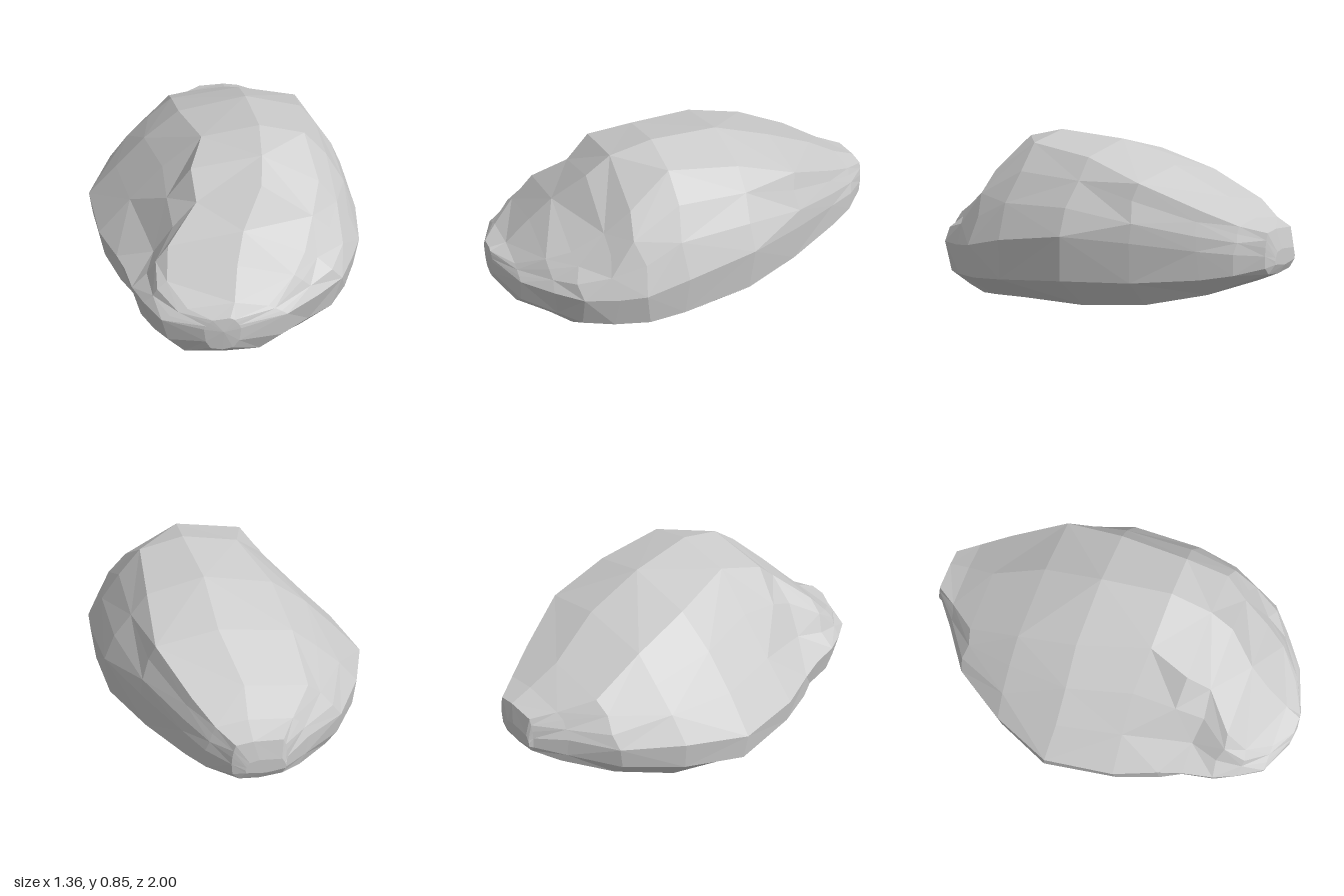
import * as THREE from 'three';

// Cross-sections from back to front: z, right x, left x, bottom y, top y,
// crest edges (right x, y, left x, y), heights of the widest points (right, left)
const SECTIONS = [
  [-1.00, -0.07, 0.12, 0.28, 0.36, -0.05, 0.35, 0.10, 0.35, 0.31, 0.31],
  [-0.98, -0.08, 0.18, 0.24, 0.455, -0.06, 0.445, 0.16, 0.445, 0.34, 0.34],
  [-0.87, -0.21, 0.28, 0.19, 0.495, -0.13, 0.47, 0.23, 0.475, 0.35, 0.35],
  [-0.72, -0.41, 0.36, 0.13, 0.575, -0.24, 0.53, 0.31, 0.54, 0.33, 0.36],
  [-0.45, -0.57, 0.51, 0.06, 0.715, -0.23, 0.66, 0.43, 0.66, 0.31, 0.39],
  [-0.15, -0.68, 0.645, 0.045, 0.825, -0.20, 0.75, 0.42, 0.76, 0.27, 0.41],
  [0.20, -0.62, 0.675, 0.03, 0.855, -0.10, 0.80, 0.40, 0.805, 0.26, 0.36],
  [0.41, -0.53, 0.665, 0.015, 0.81, -0.16, 0.75, 0.45, 0.66, 0.26, 0.31],
  [0.53, -0.49, 0.615, 0.005, 0.72, -0.14, 0.64, 0.41, 0.54, 0.27, 0.29],
  [0.68, -0.455, 0.545, 0.01, 0.57, -0.28, 0.50, 0.36, 0.44, 0.27, 0.28],
  [0.79, -0.40, 0.42, 0.02, 0.455, -0.29, 0.38, 0.30, 0.39, 0.26, 0.27],
  [0.91, -0.32, 0.26, 0.055, 0.335, -0.20, 0.31, 0.17, 0.31, 0.25, 0.26],
  [0.99, -0.13, 0.04, 0.13, 0.31, -0.09, 0.30, 0.01, 0.30, 0.25, 0.25],
];
const FRONT_Z = 1;
const { lerp, smoothstep } = THREE.MathUtils;

// Small seeded generator for the chipped facets
let seed = 7;
const jitter = (amount) => {
  seed = (seed * 16807) % 2147483647;
  return (seed / 2147483647 - 0.5) * 2 * amount;
};

// Points up one slope, from the widest point to the crest edge;
// hollow sinks its lower half into a ledge
function slope(x, y, crestX, crestY, hollow) {
  return [0, 1 / 3, 2 / 3, 1].map((t) => {
    const swell = (0.04 - hollow * (1 - t)) * (crestY - y) * Math.sin(Math.PI * t);
    return [lerp(x, crestX, t) + Math.sign(x - crestX) * swell, lerp(y, crestY, t) + swell];
  });
}

// One closed outline, counter-clockwise as seen from the front
function outline([z, xr, xl, yb, yt, cr, ycr, cl, ycl, yr, yl], row) {
  const mid = (xr + xl) / 2;
  const taper = smoothstep(z, 0.3, 0.85); // the underside narrows at the front
  // Underside corners of one flank; spread is the width of the flat bottom
  const belly = (x, y, spread) => [
    [mid + (x - mid) * (0.97 - 0.06 * taper), lerp(yb, y, 0.42)],
    [mid + (x - mid) * (spread - 0.17 * taper), yb + 0.01],
  ];
  const ledge = 0.2 * Math.max(0, 1 - Math.abs(z - 0.5) / 0.4);
  const points = [
    ...slope(xl, yl, cl, ycl, 0),
    [(cr + cl) / 2 + 0.03, yt],
    ...slope(xr, yr, cr, ycr, ledge).reverse(),
    ...belly(xr, yr, 0.82),
    [mid, yb],
    ...belly(xl, yl, 0.73).reverse(),
  ];
  const calm = row < 2 || row > SECTIONS.length - 3; // narrow ends stay tidy
  const fixed = [0, 3, 4, 5, 8, 11]; // extremes and crests keep their place
  return points.map(([x, y], j) => {
    if (calm || fixed.includes(j)) return [x, y, z];
    return [x + jitter(0.008), Math.max(0.003, y + jitter(0.008)), z + jitter(0.02)];
  });
}

function rockGeometry() {
  const rings = SECTIONS.map(outline);
  const n = rings[0].length;
  const last = rings.length - 1;
  const index = [];
  for (let i = 0; i < last; i++) {
    for (let j = 0; j < n; j++) {
      const k = (j + 1) % n;
      const a = i * n + j, b = i * n + k, c = (i + 1) * n + k, d = (i + 1) * n + j;
      // Alternating diagonals give irregular facets
      if ((i + j) % 2) index.push(a, b, c, a, c, d);
      else index.push(a, b, d, b, c, d);
    }
  }
  // Blunt ends, closed by fans around a middle point
  const tips = [[0.02, 0.32, -1], [-0.04, 0.24, FRONT_Z]];
  for (let j = 0; j < n; j++) {
    const k = (j + 1) % n;
    index.push(rings.length * n, k, j);
    index.push(rings.length * n + 1, last * n + j, last * n + k);
  }
  const indexed = new THREE.BufferGeometry();
  const positions = [...rings.flat(2), ...tips.flat()];
  indexed.setAttribute('position', new THREE.Float32BufferAttribute(positions, 3));
  indexed.setIndex(index);
  const geometry = indexed.toNonIndexed();
  geometry.computeVertexNormals();
  return geometry;
}

export function createModel() {
  seed = 7;
  const group = new THREE.Group();
  group.name = 'boulder';
  const rock = new THREE.Mesh(
    rockGeometry(),
    new THREE.MeshStandardMaterial({ color: 0xcccccc, flatShading: true })
  );
  rock.name = 'rock';
  group.add(rock);
  return group;
}
